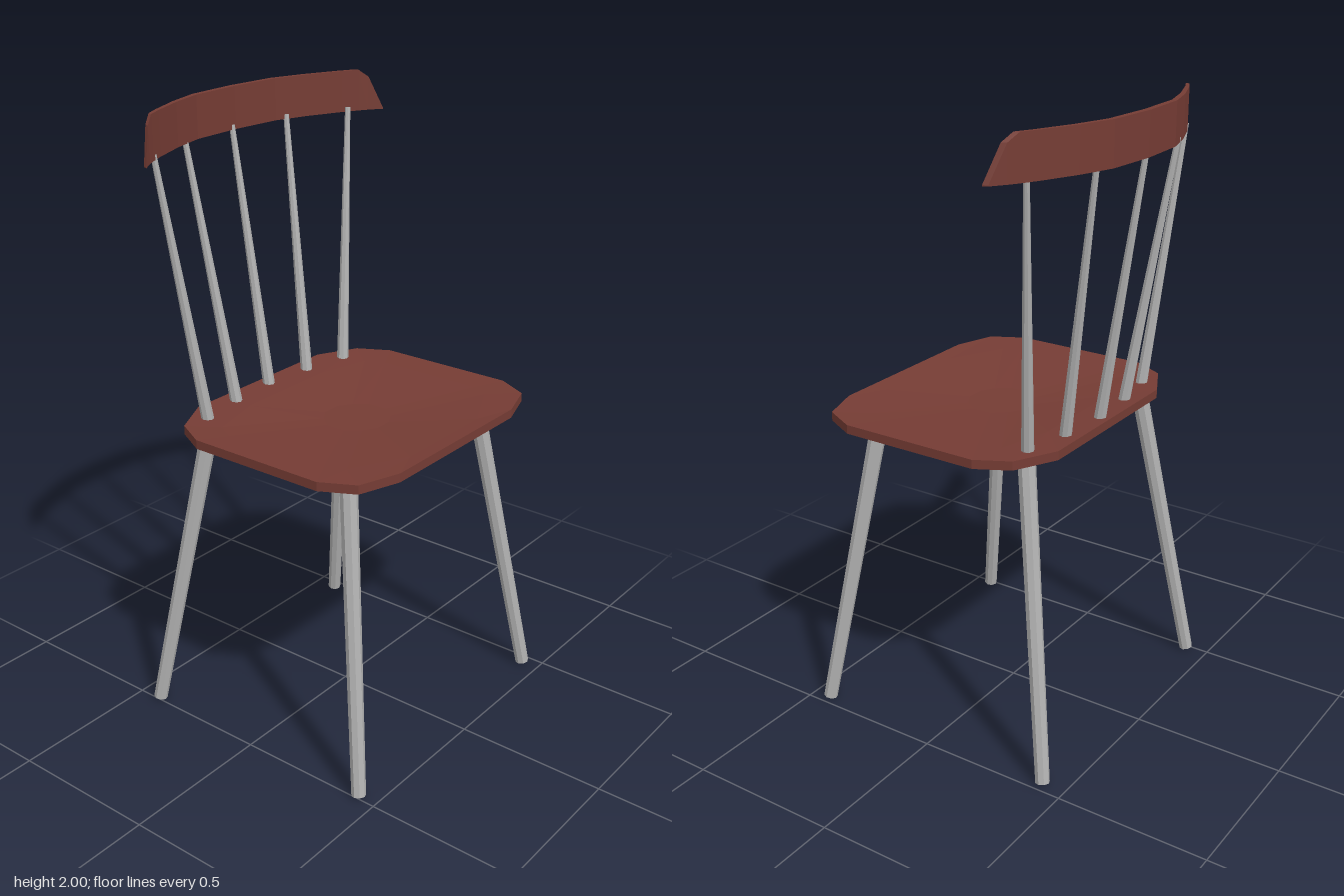
import * as THREE from 'three';

const wood = new THREE.MeshStandardMaterial({ color: 0x753c34, flatShading: true });
wood.name = 'redBrownWood';
const metal = new THREE.MeshStandardMaterial({ color: 0xb0b0b0, flatShading: true });
metal.name = 'greyRods';

const CX = -0.012; // seat and rods sit slightly off the rail's centre

// Joins equal loops of points into a skin; closes the first and last loop with a fan.
function loft(loops) {
  const n = loops[0].length, pos = [], idx = [];
  loops.forEach(l => l.forEach(p => pos.push(...p)));
  for (let r = 0; r < loops.length - 1; r++)
    for (let i = 0; i < n; i++) {
      const a = r * n + i, b = r * n + (i + 1) % n;
      idx.push(a, b, b + n, a, b + n, a + n);
    }
  const last = (loops.length - 1) * n;
  for (let i = 1; i < n - 1; i++) idx.push(0, i + 1, i, last, last + i, last + i + 1);
  const g = new THREE.BufferGeometry();
  g.setAttribute('position', new THREE.Float32BufferAttribute(pos, 3));
  g.setIndex(idx);
  const flat = g.toNonIndexed();
  flat.computeVertexNormals();
  return flat;
}

// Mirrors right-hand [x, z] points, running from front to back, into a closed loop at height y.
function ring(half, y) {
  const mirror = half.map(([x, z]) => [-x, z]).reverse();
  return [...half, ...mirror].map(([x, z]) => [x + CX, y, z]);
}

// Tapered rod between two points
function rod(name, bottom, top, rBottom, rTop) {
  const a = new THREE.Vector3(...bottom), b = new THREE.Vector3(...top);
  const dir = b.clone().sub(a);
  const mesh = new THREE.Mesh(new THREE.CylinderGeometry(rTop, rBottom, dir.length(), 8), metal);
  mesh.position.copy(a).add(b).multiplyScalar(0.5);
  mesh.quaternion.setFromUnitVectors(new THREE.Vector3(0, 1, 0), dir.normalize());
  mesh.name = name;
  return mesh;
}

// Seat: clipped-corner slab, dished on top and bellied underneath
function makeSeat() {
  const edge = [[0.301, 0.446], [0.438, 0.4], [0.494, 0.292], [0.494, -0.178], [0.438, -0.283], [0.301, -0.353]];
  const dish = [[0.18, 0.394], [0.365, 0.3], [0.4, 0.24], [0.4, -0.13], [0.365, -0.193], [0.18, -0.24]];
  const core = [[0.03, 0.16], [0.075, 0.135], [0.11, 0.09], [0.11, 0.02], [0.075, -0.02], [0.03, -0.05]];
  const belly = core.map(([x, z]) => [x * 1.3, 0.055 + (z - 0.055) * 1.2]);
  const mesh = new THREE.Mesh(loft([
    ring(belly, 0.979), ring(dish, 1.005), ring(edge, 1.008),
    ring(edge, 1.037), ring(dish, 1.031), ring(core, 1.009),
  ]), wood);
  mesh.name = 'seat';
  return mesh;
}

// Back rail: bowed upright band with sloping ends, columns of [x, outer z, top y]
function makeRail() {
  const half = [[0, -0.462, 2], [0.18, -0.451, 2], [0.3, -0.415, 2], [0.42, -0.366, 2],
    [0.475, -0.339, 2], [0.507, -0.321, 1.975], [0.55, -0.291, 1.868]];
  const columns = [...half.slice(1).reverse().map(([x, z, y]) => [-x, z, y]), ...half];
  const loops = columns.map(([x, z, y]) => {
    // inner face is offset towards the centre of the bow
    const ix = x * 1.012, iz = z + 0.02 - Math.abs(x) * 0.008;
    const ox = x;
    return [[ox, 1.865, z], [ox, y, z], [ix, y, iz], [ix, 1.865, iz]];
  });
  const mesh = new THREE.Mesh(loft(loops), wood);
  mesh.name = 'backRail';
  return mesh;
}

export function createModel() {
  const chair = new THREE.Group();
  chair.name = 'chair';
  chair.add(makeSeat(), makeRail());

  // Splayed legs
  for (const s of [-1, 1]) {
    const side = s > 0 ? 'Left' : 'Right';
    chair.add(
      rod('front' + side + 'Leg', [CX + s * 0.477, 0.003, 0.436], [CX + s * 0.338, 1.015, 0.285], 0.023, 0.028),
      rod('back' + side + 'Leg', [CX + s * 0.477, 0.003, -0.42], [CX + s * 0.338, 1.015, -0.265], 0.023, 0.028),
    );
  }

  // Back spindles: [bottom x, bottom z, top x, top z]
  const spindles = [[0, -0.315, 0, -0.447], [0.178, -0.3, 0.237, -0.424], [0.342, -0.272, 0.454, -0.338]];
  spindles.forEach(([bx, bz, tx, tz], i) => {
    for (const s of i ? [-1, 1] : [1])
      chair.add(rod('backSpindle', [CX + s * bx, 1.025, bz], [CX + s * tx, 1.88, tz], 0.02, 0.009));
  });
  return chair;
}
